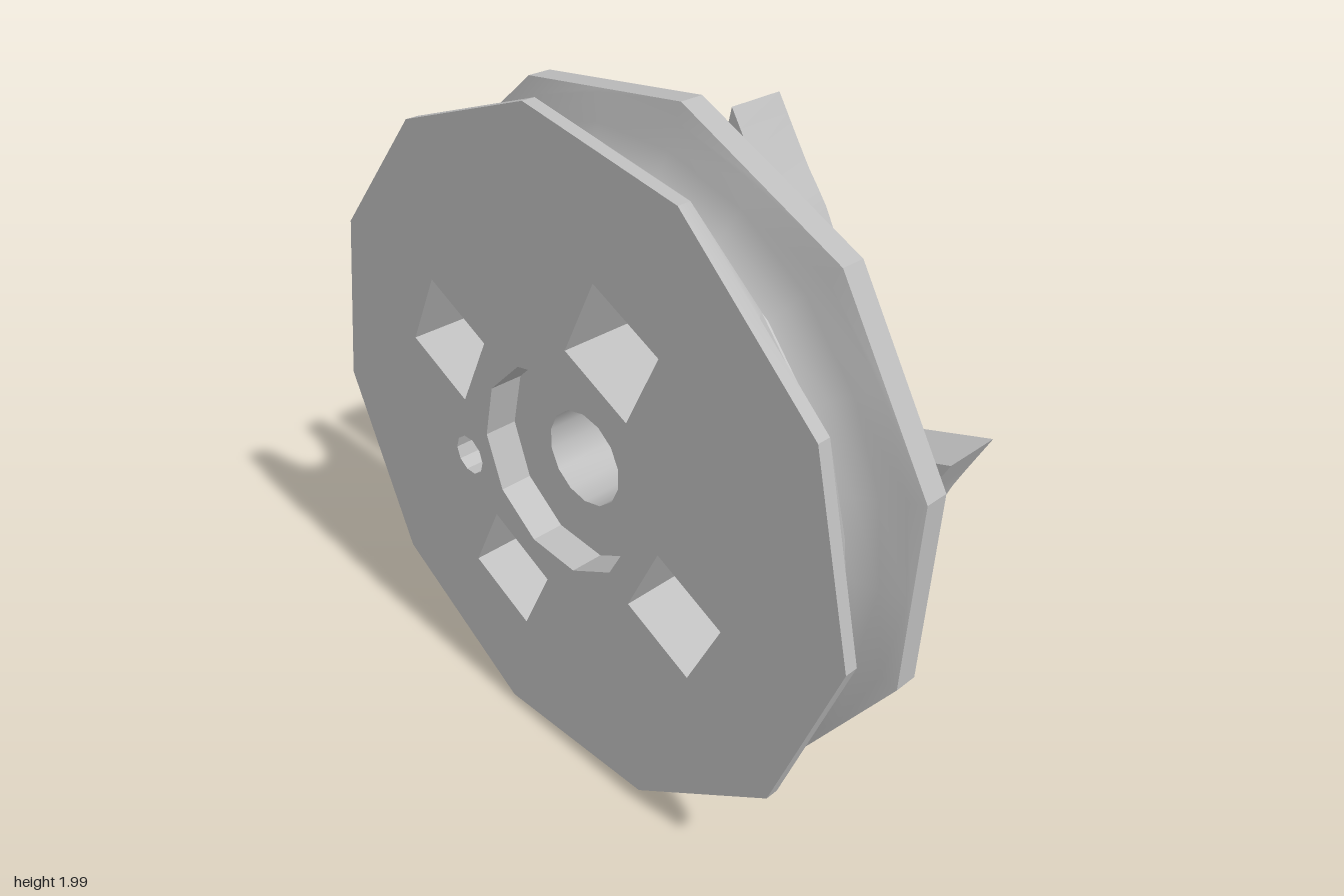
import * as THREE from 'three';
import { toCreasedNormals } from 'three/addons/utils/BufferGeometryUtils.js';

const RAD = Math.PI / 180;
const STEP = 360 / 11;
const polar = (r, deg) => [r * Math.cos(deg * RAD), r * Math.sin(deg * RAD)];
const ngon = (n, r, phase, cx = 0, cy = 0) =>
  Array.from({ length: n }, (_, i) => {
    const [x, y] = polar(r, phase + (i * 360) / n);
    return [x + cx, y + cy];
  });
const toVectors = (pts) => pts.map(([x, y]) => new THREE.Vector2(x, y));

// Insert the middle of each edge, so 11-sided and 22-sided rings can be joined
const withMidpoints = (pts) =>
  pts.flatMap((p, i) => {
    const q = pts[(i + 1) % pts.length];
    return [p, [(p[0] + q[0]) / 2, (p[1] + q[1]) / 2]];
  });

// Skin through rings ordered from front to back; each ring is { pts, z }
function loft(rings) {
  const n = rings[0].pts.length;
  const position = rings.flatMap(({ pts, z }) => pts.flatMap(([x, y]) => [x, y, z]));
  const index = [];
  for (let r = 0; r < rings.length - 1; r++) {
    for (let i = 0; i < n; i++) {
      const j = (i + 1) % n;
      const a = r * n;
      const b = a + n;
      index.push(a + i, b + i, a + j, b + i, b + j, a + j);
    }
  }
  const g = new THREE.BufferGeometry();
  g.setAttribute('position', new THREE.Float32BufferAttribute(position, 3));
  g.setIndex(index);
  return toCreasedNormals(g, 30 * RAD);
}

// Flat face with holes at depth z, facing front or back
function face(pts, holes, z, facesBack = false) {
  const shape = new THREE.Shape(toVectors(pts));
  holes.forEach((h) => shape.holes.push(new THREE.Path(toVectors(h))));
  const g = new THREE.ShapeGeometry(shape);
  if (facesBack) {
    g.index.array.reverse();
    g.computeVertexNormals();
  }
  return g.translate(0, 0, z);
}

export function createModel() {
  const metal = new THREE.MeshStandardMaterial({ color: 0xbcbcbc });
  metal.name = 'grey metal';
  const model = new THREE.Group();
  model.name = 'pulleyImpeller';
  const wheel = new THREE.Group();
  wheel.name = 'wheel';
  wheel.position.y = 1;
  model.add(wheel);

  const add = (name, geometry, parent = wheel) => {
    const mesh = new THREE.Mesh(geometry, metal);
    mesh.name = name;
    parent.add(mesh);
    return mesh;
  };
  // Inward-facing walls of a hole
  const holeWall = (name, pts, zFront, zBack) => {
    const inward = [...pts].reverse();
    add(name, loft([{ pts: inward, z: zFront }, { pts: inward, z: zBack }]));
  };

  // Pulley outlines: a slightly uneven front rim and a regular back rim
  const frontRim = [-3, 30, 63.7, 94, 124, 154, 186, 221, 255.5, 289, 323].map((a) => polar(0.997, a));
  const backPhase = 15;
  const backRim = ngon(11, 1, backPhase);
  const frontRing = withMidpoints(frontRim);
  const backRing = withMidpoints(ngon(11, 1, backPhase - STEP));
  backRing.push(backRing.shift()); // edge middles line up with the front corners
  const grooveProfile = [
    [0.94, 0.235], [0.88, 0.22], [0.82, 0.195], [0.785, 0.165], [0.775, 0.13],
    [0.785, 0.09], [0.82, 0.06], [0.88, 0.04], [0.95, 0.025],
  ];
  // Rim and rope groove
  add('rimAndGroove', loft([
    { pts: frontRing, z: 0.3 },
    { pts: frontRing, z: 0.262 },
    ...grooveProfile.map(([r, z]) => ({ pts: ngon(22, r, backPhase - STEP / 2), z })),
    { pts: backRing, z: 0.02 },
    { pts: backRing, z: -0.05 },
  ]));

  // Holes in the front face
  const bore = ngon(14, 0.14, 90);
  const recess = ngon(11, 0.3, -13);
  const pinHole = ngon(10, 0.06, 0, -0.39, -0.13);
  const sockets = [0, 1, 2, 3].map((i) => {
    const [cx, cy] = polar(0.5, 63.7 + i * 90);
    return ngon(4, 0.176, 18.7, cx, cy);
  });
  add('frontFace', face(frontRim, [recess, pinHole, ...sockets], 0.3));
  holeWall('recessWall', recess, 0.3, 0.2);
  add('recessFloor', face(recess, [bore], 0.2));
  holeWall('pinHoleWall', pinHole, 0.3, 0.18);
  add('pinHoleFloor', face(pinHole, [], 0.18));
  sockets.forEach((s) => {
    holeWall('socketWall', s, 0.3, 0.08);
    add('socketFloor', face(s, [], 0.08));
  });
  holeWall('boreWall', bore, 0.2, -0.3);
  add('backFace', face(backRim, [bore], -0.05, true));

  // Hub: a spacer against the pulley, then the blade carrier
  const hubPart = (name, phase, zFront, zBack) => {
    const pts = ngon(11, 0.497, phase);
    add(name + 'Side', loft([{ pts, z: zFront }, { pts, z: zBack }]));
    add(name + 'Front', face(pts, [bore], zFront));
    add(name + 'Back', face(pts, [bore], zBack, true));
  };
  hubPart('hubSpacer', backPhase, -0.05, -0.1);
  hubPart('hub', -2, -0.1, -0.3);

  // Six swept blades: radius by angle behind the tip
  const convex = [[-70, 0.46], [-60, 0.52], [-37, 0.67], [-18, 0.79], [-9, 0.86], [0, 0.98]];
  const concave = [[0, 0.76], [-9, 0.7], [-18, 0.64], [-40, 0.5], [-52, 0.44]];
  const edge = (list) =>
    new THREE.SplineCurve(toVectors(list.map(([a, r]) => polar(r, a)))).getPoints(14);
  const bladeGeometry = toCreasedNormals(
    new THREE.ExtrudeGeometry(new THREE.Shape([...edge(convex), ...edge(concave)]), {
      depth: 0.167, bevelEnabled: false,
    }), 30 * RAD);
  for (let i = 0; i < 6; i++) {
    const blade = add('blade', bladeGeometry);
    blade.position.z = -0.27;
    blade.rotation.z = (17.5 + i * 60) * RAD;
  }
  return model;
}
